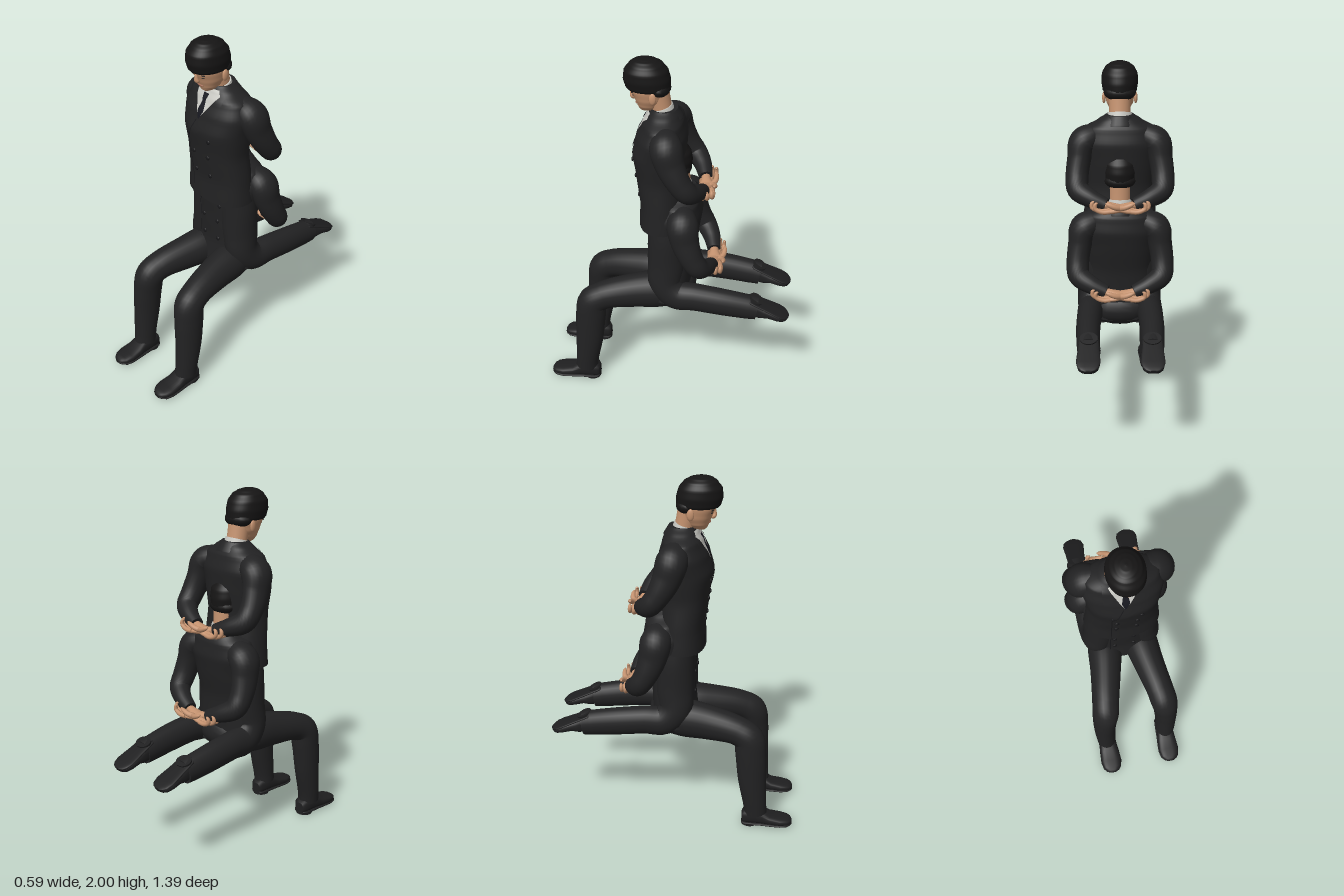
import * as THREE from 'three';

const paint = (name, hex) => {
  const m = new THREE.MeshStandardMaterial({ color: hex });
  m.name = name;
  return m;
};
const V = (x, y, z) => new THREE.Vector3(x, y, z);

export function createModel() {
  const suit = paint('suit black', 0x222223);
  const seam = paint('seam black', 0x18181a);
  const hair = paint('hair black', 0x161515);
  const skin = paint('skin', 0xc4926f);
  const lip = paint('lips', 0xa06a55);
  const shirt = paint('shirt grey white', 0xc6c6c0);
  const tie = paint('tie', 0x17181f);
  const leather = paint('shoe leather', 0x1f1f20);

  const add = (parent, name, geo, mat) => {
    const m = new THREE.Mesh(geo, mat);
    m.name = name;
    parent.add(m);
    return m;
  };
  const group = (parent, name) => {
    const g = new THREE.Group();
    g.name = name;
    if (parent) parent.add(g);
    return g;
  };
  const ball = (parent, name, mat, p, s) => {
    const m = add(parent, name, new THREE.SphereGeometry(1, 16, 12), mat);
    m.position.set(...p);
    m.scale.set(...s);
    return m;
  };

  // Closed skin over a list of point rings, with capped ends
  const skinRings = (rings) => {
    const n = rings[0].length, pos = [], idx = [];
    rings.forEach((r) => r.forEach((p) => pos.push(p.x, p.y, p.z)));
    for (let j = 0; j < rings.length - 1; j++)
      for (let i = 0; i < n; i++) {
        const a = j * n + i, b = j * n + ((i + 1) % n);
        idx.push(a, b, b + n, a, b + n, a + n);
      }
    [0, rings.length - 1].forEach((j) => {
      const c = rings[j].reduce((s, p) => s.add(p), V(0, 0, 0)).divideScalar(n);
      const base = pos.length / 3;
      rings[j].forEach((p) => pos.push(p.x, p.y, p.z));
      pos.push(c.x, c.y, c.z);
      for (let i = 0; i < n; i++) {
        const k = (i + 1) % n;
        if (j) idx.push(base + i, base + k, base + n);
        else idx.push(base + k, base + i, base + n);
      }
    });
    const g = new THREE.BufferGeometry();
    g.setAttribute('position', new THREE.Float32BufferAttribute(pos, 3));
    g.setIndex(idx);
    g.computeVertexNormals();
    return g;
  };
  const ring = (c, u, v, ru, rv, e = 2, n = 28) => Array.from({ length: n }, (_, i) => {
    const a = (i / n) * Math.PI * 2, co = Math.cos(a), si = Math.sin(a);
    const f = (t) => Math.sign(t) * Math.pow(Math.abs(t), 2 / e);
    return c.clone().addScaledVector(u, ru * f(co)).addScaledVector(v, rv * f(si));
  });

  // Limb along a smooth path; rows are [x, y, z, radius along ref, radius across]
  const limb = (rows, ref = V(1, 0, 0), steps = 6, n = 24) => {
    const path = new THREE.CatmullRomCurve3(rows.map((r) => V(r[0], r[1], r[2])));
    const size = new THREE.CatmullRomCurve3(rows.map((r) => V(r[3], r[4] ?? r[3], 0)), false, 'catmullrom');
    const N = (rows.length - 1) * steps, rings = [];
    for (let i = 0; i <= N; i++) {
      const t = path.getTangent(i / N), s = size.getPoint(i / N);
      const u = ref.clone().addScaledVector(t, -ref.dot(t)).normalize();
      rings.push(ring(path.getPoint(i / N), u, t.clone().cross(u), s.x, s.y, 2, n));
    }
    return skinRings(rings);
  };

  // Upright body; rows are [y, back z, front z, half width]
  const sampler = (rows) => (y) => {
    let i = 0;
    while (i < rows.length - 2 && y > rows[i + 1][0]) i++;
    const a = rows[i], b = rows[i + 1];
    const t = THREE.MathUtils.smoothstep(y, a[0], b[0]) * 0.4 + ((y - a[0]) / (b[0] - a[0])) * 0.6;
    return [1, 2, 3].map((k) => a[k] + (b[k] - a[k]) * t);
  };
  const upright = (rows, e = 2, steps = 5) => {
    const at = sampler(rows), rings = [];
    for (let j = 0; j < rows.length - 1; j++)
      for (let s = j ? 1 : 0; s <= steps; s++) {
        const y = rows[j][0] + ((rows[j + 1][0] - rows[j][0]) * s) / steps;
        const [b, f, w] = at(y);
        rings.push(ring(V(0, y, (b + f) / 2), V(0, 0, 1), V(1, 0, 0), (f - b) / 2, w, e, 40));
      }
    return skinRings(rings);
  };

  const torso = [[1.05, -0.1, 0.165, 0.21], [1.18, -0.085, 0.16, 0.2], [1.34, -0.075, 0.18, 0.185],
    [1.485, -0.09, 0.2, 0.2], [1.58, -0.095, 0.172, 0.215], [1.66, -0.075, 0.137, 0.19],
    [1.7, -0.055, 0.115, 0.12], [1.73, -0.035, 0.095, 0.075]];
  const torsoAt = sampler(torso), E = 2.3;
  const chestZ = (x, y) => {
    const [b, f, w] = torsoAt(y);
    return (b + f) / 2 + ((f - b) / 2) * Math.pow(1 - Math.pow(Math.min(1, Math.abs(x) / w), E), 1 / E);
  };
  // Thin cloth panel lying on the chest; rows are [y, x from, x to], top to bottom
  const panel = (rows, lift) => {
    const H = (rows.length - 1) * 6, g = new THREE.PlaneGeometry(1, 1, 8, H), p = g.attributes.position;
    for (let k = 0; k < p.count; k++) {
      const q = (Math.floor(k / 9) / H) * (rows.length - 1), i = Math.min(rows.length - 2, Math.floor(q));
      const [y, l, r] = rows[i].map((v, c) => v + (rows[i + 1][c] - v) * (q - i));
      const x = l + ((r - l) * (k % 9)) / 8;
      p.setXYZ(k, x, y, chestZ(x, y) + lift);
    }
    g.computeVertexNormals();
    return g;
  };

  const upperBody = () => {
    const g = group(null, 'upperBody');
    // Jacket, shirt front and tie
    add(g, 'jacket', upright(torso, E), suit);
    add(g, 'jacketCollar', limb([[0, 1.66, 0.01, 0.1, 0.085], [0, 1.715, 0.025, 0.08, 0.07]]), suit);
    add(g, 'shirtCollar', limb([[0, 1.68, 0.03, 0.075, 0.066], [0, 1.735, 0.046, 0.066, 0.061]]), shirt);
    add(g, 'shirtFront', panel([[1.715, -0.06, 0.06], [1.69, -0.085, 0.08], [1.64, -0.058, 0.05], [1.555, -0.014, -0.008]], 0.004), shirt);
    add(g, 'tieKnot', panel([[1.69, -0.022, 0.016], [1.65, -0.016, 0.008]], 0.009), tie);
    add(g, 'tie', panel([[1.65, -0.016, 0.008], [1.6, -0.027, 0.015], [1.556, -0.014, -0.006]], 0.007), tie);
    add(g, 'leftLapel', panel([[1.69, 0.08, 0.11], [1.6, 0.022, 0.115], [1.54, -0.025, 0.07], [1.42, -0.08, -0.07]], 0.006), suit);
    add(g, 'rightLapel', panel([[1.69, -0.115, -0.085], [1.6, -0.12, -0.036], [1.55, -0.085, -0.014], [1.44, -0.075, -0.068]], 0.005), suit);
    add(g, 'frontEdge', panel([[1.55, -0.024, -0.018], [1.42, -0.084, -0.079], [1.052, -0.084, -0.079]], 0.007), seam);
    for (const y of [1.45, 1.34, 1.22])
      for (const s of [-1, 1]) {
        const x = s * (y > 1.4 ? 0.075 : 0.055);
        ball(g, 'button', seam, [x, y, chestZ(x, y) + 0.003], [0.013, 0.013, 0.006]);
      }

    // Arms folded behind the back, hands crossed
    for (const s of [1, -1]) {
      const a = group(g, s > 0 ? 'leftArm' : 'rightArm');
      a.scale.x = s;
      add(a, 'sleeve', limb([[0.1, 1.63, 0.01, 0.05], [0.15, 1.615, 0.005, 0.075, 0.068], [0.198, 1.585, -0.005, 0.087, 0.078],
        [0.22, 1.5, -0.03, 0.078, 0.066], [0.232, 1.41, -0.075, 0.066, 0.062], [0.225, 1.35, -0.12, 0.06, 0.06],
        [0.16, 1.315, -0.162, 0.05], [0.075, 1.285, -0.188, 0.038, 0.036]], V(0, 0, 1)), suit);
      add(a, 'palm', limb([[0.09, 1.287, -0.186, 0.024, 0.02], [0.05, 1.28, -0.192, 0.026, 0.02], [0, 1.27, -0.2, 0.042, 0.02],
        [-0.05, 1.262, -0.203, 0.046, 0.018], [-0.075, 1.262, -0.203, 0.036, 0.011]], V(0, 0, 1), 4, 16), skin);
      for (let i = 0; i < 4; i++) {
        const z = -0.166 - 0.025 * i, l = [0, 0.012, 0.008, -0.01][i];
        add(a, 'finger', limb([[-0.055, 1.263, z, 0.013], [-0.105 - l, 1.262, z - 0.002, 0.0125], [-0.142 - l, 1.28, z, 0.0115],
          [-0.142 - l, 1.304, z, 0.01], [-0.13 - l, 1.313, z, 0.004]], V(0, 0, 1), 3, 10), skin);
      }
      add(a, 'thumb', limb([[0.015, 1.275, -0.222, 0.016], [-0.025, 1.288, -0.246, 0.015], [-0.06, 1.304, -0.25, 0.012],
        [-0.078, 1.312, -0.248, 0.005]], V(0, 0, 1), 3, 10), skin);
    }

    // Head bowed slightly forward
    const h = group(g, 'head');
    add(h, 'neck', limb([[0, 1.66, 0.03, 0.058, 0.055], [0, 1.74, 0.047, 0.058, 0.056], [0, 1.83, 0.068, 0.062, 0.062]]), skin);
    add(h, 'face', upright([[1.711, 0.115, 0.148, 0.018], [1.722, 0.075, 0.162, 0.038], [1.745, 0.05, 0.172, 0.057],
      [1.785, 0.025, 0.188, 0.074], [1.83, 0.012, 0.207, 0.083], [1.88, 0.01, 0.215, 0.086]], 2.1), skin);
    add(h, 'nose', limb([[0, 1.825, 0.198, 0.008], [0, 1.8, 0.2, 0.011], [0, 1.784, 0.197, 0.016, 0.012], [0, 1.775, 0.185, 0.008]], V(1, 0, 0), 3, 12), skin);
    ball(h, 'lips', lip, [0, 1.753, 0.173], [0.022, 0.006, 0.008]);
    for (const s of [1, -1]) {
      ball(h, 'eye', seam, [s * 0.034, 1.81, 0.186], [0.014, 0.005, 0.006]);
      ball(h, 'eyebrow', hair, [s * 0.036, 1.826, 0.191], [0.021, 0.005, 0.007]);
      ball(h, 'ear', skin, [s * 0.086, 1.81, 0.08], [0.01, 0.032, 0.019]);
    }
    add(h, 'hair', upright([[1.838, 0.004, 0.224, 0.088], [1.85, -0.004, 0.234, 0.094], [1.89, -0.004, 0.245, 0.1],
      [1.935, 0.008, 0.24, 0.097], [1.97, 0.035, 0.215, 0.079], [1.988, 0.065, 0.192, 0.055], [1.997, 0.095, 0.165, 0.03],
      [2, 0.125, 0.135, 0.004]], 2.1), hair);
    ball(h, 'hairBack', hair, [0, 1.842, 0.055], [0.087, 0.046, 0.061]);
    return g;
  };

  // Shoe with its ankle at the origin, toe towards +z; rows are [z, half width, top]
  const shoe = (parent, name) => {
    const s = group(parent, name);
    const rows = [[-0.07, 0.03, 0.075], [-0.055, 0.046, 0.095], [0, 0.051, 0.105], [0.05, 0.053, 0.095], [0.09, 0.057, 0.07],
      [0.15, 0.061, 0.058], [0.19, 0.052, 0.052], [0.21, 0.036, 0.045], [0.22, 0.015, 0.033]];
    const rings = (f) => rows.map((r) => {
      const [lo, hi, w] = f(r);
      return ring(V(0, (lo + hi) / 2 - 0.1, r[0]), V(1, 0, 0), V(0, 1, 0), w, (hi - lo) / 2, 2.8);
    });
    add(s, 'upper', skinRings(rings(([, w, t]) => [0.012, t, w])), leather);
    add(s, 'sole', skinRings(rings(([z, w]) => [z > 0.19 ? 0.012 : 0.008, 0.026, w + 0.003])), leather);
    const heel = add(s, 'heel', new THREE.CylinderGeometry(0.046, 0.048, 0.024, 24), leather);
    heel.position.set(0, -0.088, -0.025);
    return s;
  };

  const model = group(null, 'twoFigures');

  // Kneeling figure: upright thighs, shins stretched back, soles up
  const kneeling = group(model, 'kneelingFigure');
  kneeling.add(upperBody());
  // Seated figure: thighs forward, feet on the ground, leaning back a little
  const seated = group(model, 'seatedFigure');
  const lean = group(seated, 'leaningTorso');
  lean.position.set(0, 0.74, -0.05);
  lean.rotation.x = -0.1;
  const lower = upperBody();
  lower.position.y = -1.2;
  lean.add(lower);
  ball(seated, 'hips', suit, [0, 0.635, -0.02], [0.2, 0.11, 0.135]);

  for (const s of [1, -1]) {
    const side = s > 0 ? 'left' : 'right';
    const k = group(kneeling, side + 'KneelingLeg');
    k.scale.x = s;
    add(k, 'trouserLeg', limb([[0.105, 1.12, 0.01, 0.09, 0.1], [0.11, 0.98, 0.005, 0.102, 0.105], [0.125, 0.82, 0.005, 0.092, 0.105],
      [0.148, 0.7, 0.005, 0.08, 0.095], [0.162, 0.636, -0.055, 0.075, 0.088], [0.17, 0.633, -0.16, 0.07, 0.082],
      [0.175, 0.617, -0.32, 0.066, 0.08], [0.172, 0.598, -0.46, 0.062, 0.074], [0.17, 0.59, -0.515, 0.06, 0.068]]), suit);
    const back = shoe(k, 'shoe');
    back.position.set(0.168, 0.555, -0.49);
    back.rotation.x = Math.PI - 0.42;
    back.scale.z = 0.86;

    const f = group(seated, side + 'SeatedLeg');
    f.scale.x = s;
    add(f, 'trouserLeg', limb([[0.1, 0.625, -0.06, 0.08, 0.09], [0.108, 0.625, 0.06, 0.1, 0.11], [0.13, 0.615, 0.2, 0.09, 0.1],
      [0.162, 0.59, 0.36, 0.08, 0.083], [0.175, 0.55, 0.425, 0.079, 0.086], [0.184, 0.46, 0.44, 0.073, 0.087],
      [0.19, 0.3, 0.452, 0.066, 0.08], [0.19, 0.14, 0.472, 0.06, 0.067], [0.188, 0.075, 0.478, 0.058, 0.066]]), suit);
    shoe(f, 'shoe').position.set(0.185, 0.1, 0.47);
  }
  return model;
}
